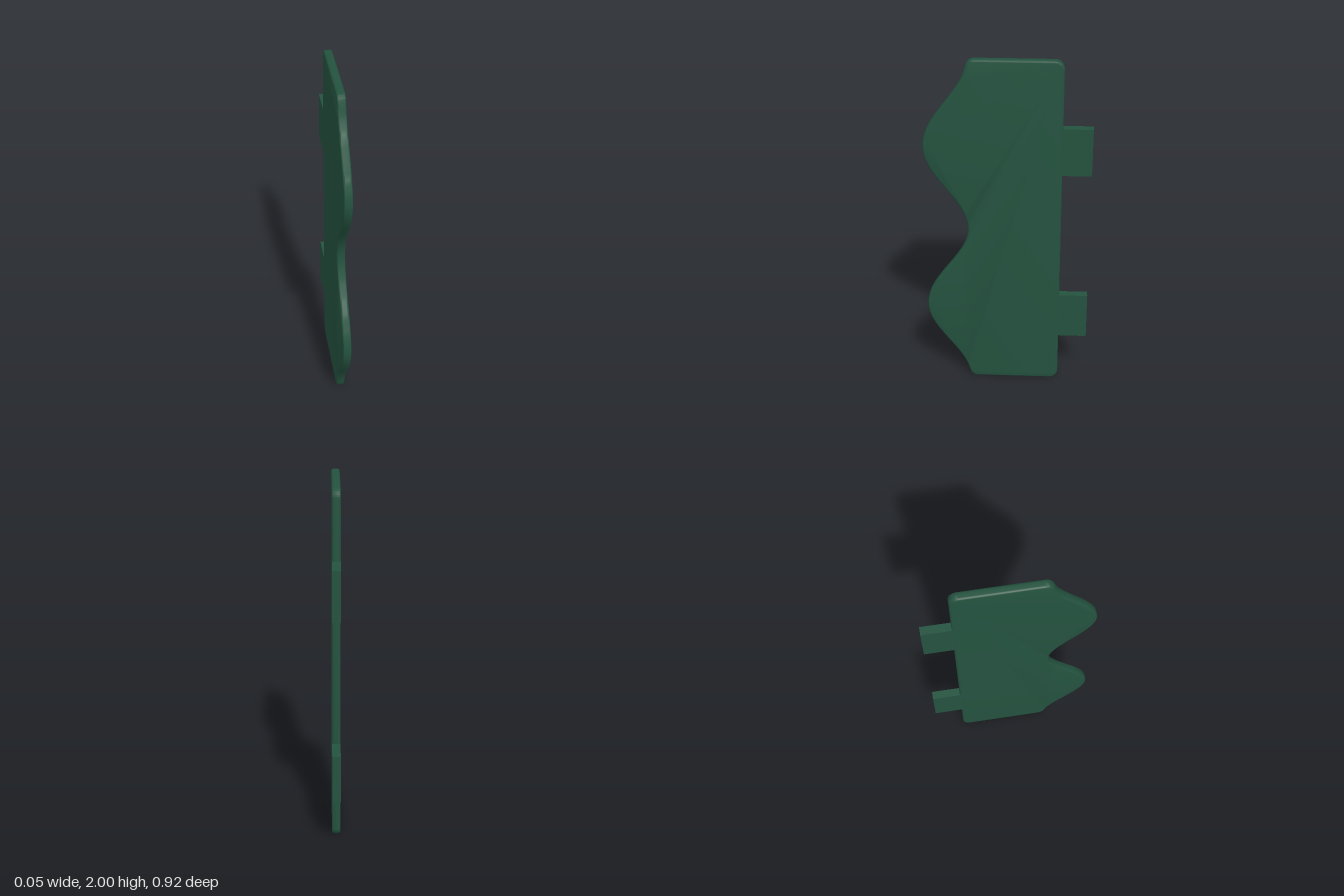
import * as THREE from 'three';
import { toCreasedNormals } from 'three/addons/utils/BufferGeometryUtils.js';

const THICK = 0.047, BEVEL = 0.012, BACK = -0.297, R = 0.05;

// Wavy front edge: depth z at height y
const wave = (y) => 0.34 - 0.12 * Math.cos(2 * Math.PI * y);

// Plate outline, drawn with shape x as depth and shape y as height
function plateOutline() {
  const s = new THREE.Shape();
  const steps = 72, corner = 0.213;
  s.moveTo(BACK + R, 0);
  s.lineTo(0.175, 0);
  s.quadraticCurveTo(corner, 0, wave(R), R);
  for (let i = 1; i <= steps; i++) {
    const y = R + (2 - 2 * R) * i / steps;
    s.lineTo(wave(y), y);
  }
  s.quadraticCurveTo(corner, 2, 0.175, 2);
  s.lineTo(BACK + R, 2);
  s.absarc(BACK + R, 2 - R, R, Math.PI / 2, Math.PI, false);
  s.lineTo(BACK, R);
  s.absarc(BACK + R, R, R, Math.PI, Math.PI * 1.5, false);
  return s;
}

export function createModel() {
  const group = new THREE.Group();
  group.name = 'wavyPanel';
  const material = new THREE.MeshStandardMaterial({ color: 0x24523f });

  // Flat panel with softly rounded edges
  const geometry = new THREE.ExtrudeGeometry(plateOutline(), {
    depth: THICK - 2 * BEVEL,
    bevelThickness: BEVEL,
    bevelSize: BEVEL,
    bevelOffset: -BEVEL,
    bevelSegments: 4,
    curveSegments: 10,
  });
  geometry.translate(0, 0, -THICK / 2 + BEVEL);
  geometry.rotateY(-Math.PI / 2);
  const panel = new THREE.Mesh(toCreasedNormals(geometry, 0.7), material);
  panel.name = 'panel';
  group.add(panel);

  // Two square-edged mounting tabs, sunk slightly into the back edge
  const tabBack = -0.458, tabFront = BACK + 0.03;
  [['lowerTab', 0.443], ['upperTab', 1.482]].forEach(([name, y]) => {
    const tab = new THREE.Mesh(
      new THREE.BoxGeometry(THICK - 0.001, 0.276, tabFront - tabBack), material);
    tab.name = name;
    tab.position.set(0, y, (tabBack + tabFront) / 2);
    group.add(tab);
  });

  return group;
}
